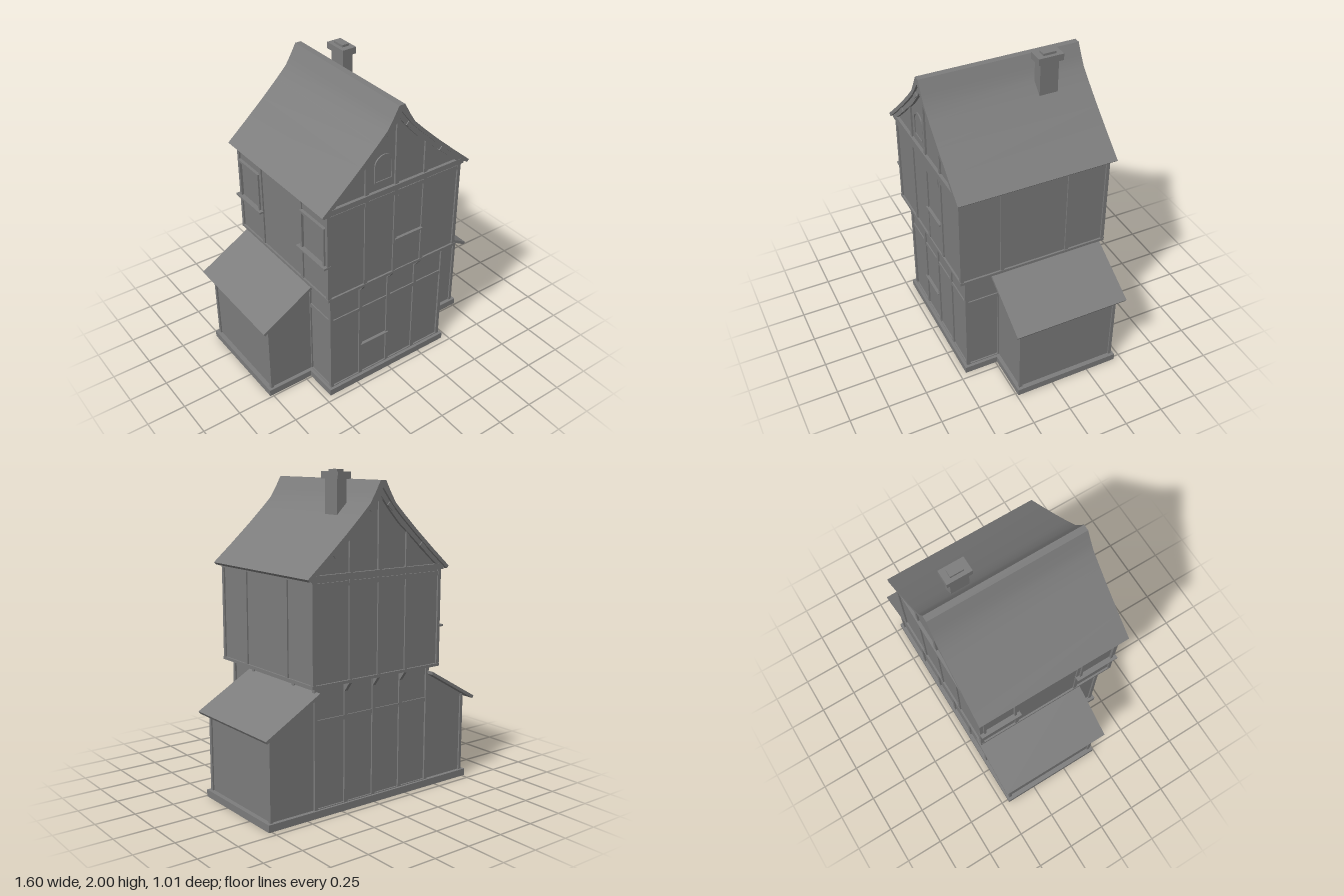
import * as THREE from 'three';
import { toCreasedNormals } from 'three/addons/utils/BufferGeometryUtils.js';

const material = new THREE.MeshStandardMaterial({ color: 0x7c7c7c });

export function createModel() {
  const house = new THREE.Group();
  house.name = 'timberHouse';

  const add = (name, geometry) => {
    const mesh = new THREE.Mesh(geometry, material);
    mesh.name = name;
    house.add(mesh);
    return mesh;
  };
  // Box given by its bounds
  const box = (name, x0, x1, y0, y1, z0, z1) => {
    const g = new THREE.BoxGeometry(Math.abs(x1 - x0), y1 - y0, Math.abs(z1 - z0));
    g.translate((x0 + x1) / 2, (y0 + y1) / 2, (z0 + z1) / 2);
    return add(name, g);
  };
  const toVectors = (points) => points.map(([x, y]) => new THREE.Vector2(x, y));
  // Outline in x and y, extruded from z0 to z1
  const slab = (name, outline, z0, z1) => {
    const shape = outline instanceof THREE.Shape ? outline : new THREE.Shape(toVectors(outline));
    const g = new THREE.ExtrudeGeometry(shape, { depth: z1 - z0, bevelEnabled: false, curveSegments: 10 });
    g.translate(0, 0, z0);
    return add(name, toCreasedNormals(g, 0.5));
  };
  const mirrorX = (points) => points.map(([x, y]) => [-x, y]).reverse();
  const sides = [-1, 1];

  // Plinth: a stepped rim open below
  const plan = [[0.77, 0.455], [0.77, -0.24], [0.46, -0.24], [0.46, -0.46]];
  const inner = [[0.74, 0.425], [0.74, -0.21], [0.43, -0.21], [0.43, -0.43]];
  const rim = new THREE.Shape(toVectors([...plan, ...mirrorX(plan)].reverse()));
  rim.holes.push(new THREE.Path(toVectors([...inner, ...mirrorX(inner)])));
  slab('plinth', rim, 0, 0.045).rotation.x = -Math.PI / 2;

  // Floor, joists and the sills between the house and its wings
  box('floor', -0.44, 0.44, 0.036, 0.05, -0.44, 0.44);
  for (const x of [-0.6, 0.6]) box('wingJoist', x - 0.012, x + 0.012, 0.015, 0.042, -0.43, 0.215);
  for (const x of [-0.212, 0, 0.212]) box('floorJoist', x - 0.012, x + 0.012, 0.012, 0.04, -0.44, 0.44);
  for (const z of [-0.222, 0.212]) box('floorBeam', -0.44, 0.44, 0.015, 0.04, z - 0.012, z + 0.012);
  for (const s of sides) box('dividingSill', s * 0.43, s * 0.46, 0.002, 0.043, -0.44, 0.225);

  // Storey walls
  box('lowerWalls', -0.43, 0.43, 0.04, 0.8, -0.43, 0.43);
  box('upperWalls', -0.475, 0.475, 0.795, 1.42, -0.475, 0.475);

  // Corner posts
  for (const sx of sides) for (const sz of sides) {
    box('lowerCornerPost', sx * 0.42, sx * 0.442, 0.045, 0.8, sz * 0.42, sz * 0.442);
    box('upperCornerPost', sx * 0.463, sx * 0.485, 0.79, 1.41, sz * 0.463, sz * 0.485);
  }

  // Framing on the front and back
  for (const s of sides) {
    for (const x of [-0.212, 0, 0.212]) {
      box('lowerPost', x - 0.012, x + 0.012, 0.045, 0.8, s * 0.42, s * 0.44);
      box('upperPost', x - 0.012, x + 0.012, 0.8, 1.41, s * 0.465, s * 0.484);
      // Bracket under the overhanging storey
      const bracket = slab('jettyBracket', [[0, 0.725], [0.045, 0.785], [0.045, 0.798], [0, 0.798]], -0.011, 0.011);
      bracket.rotation.y = -s * Math.PI / 2;
      bracket.position.set(x, 0, s * 0.435);
    }
    box('lowerRail', -0.44, 0.44, 0.56, 0.586, s * 0.42, s * 0.438);
    box('jettyBeam', -0.485, 0.485, 0.79, 0.808, s * 0.46, s * 0.487);
    box('upperRail', -0.475, 0.475, 1.357, 1.385, s * 0.46, s * 0.483);
    box('tieBeam', -0.5, 0.5, 1.395, 1.43, s * 0.46, s * 0.492);
  }

  // Framing on the sides
  for (const s of sides) {
    for (const z of [-0.222, 0.212]) {
      box('upperSidePost', s * 0.465, s * 0.484, 0.8, 1.41, z - 0.012, z + 0.012);
      box('lowerSidePost', s * 0.42, s * 0.44, 0.045, 0.8, z - 0.012, z + 0.012);
    }
    box('lowerSideRail', s * 0.42, s * 0.438, 0.56, 0.586, -0.43, 0.43);
    box('sideJettyBeam', s * 0.46, s * 0.487, 0.79, 0.808, -0.485, 0.485);
    box('wallPlate', s * 0.46, s * 0.487, 1.385, 1.41, -0.485, 0.485);
  }

  // Lean-to wings
  for (const s of sides) {
    const flip = (points) => (s > 0 ? points : mirrorX(points));
    slab('wingWalls', flip([[0.42, 0.04], [0.74, 0.04], [0.74, 0.565], [0.42, 0.75]]), -0.43, 0.215);
    slab('wingRoof', flip([[0.43, 0.738], [0.79, 0.53], [0.8, 0.546], [0.43, 0.759]]), -0.485 + s * 0.004, 0.263 + s * 0.003);
    for (const [z0, z1] of [[-0.44, -0.42], [0.203, 0.225]]) {
      box('wingPost', s * 0.73, s * 0.75, 0.045, 0.555, z0, z1);
    }
    box('wingPlate', s * 0.73, s * 0.75, 0.535, 0.555, -0.43, 0.215);
  }

  // Main roof: a shell that steepens toward the ridge
  const top = [[0.53, 1.415], [0.4, 1.527], [0.27, 1.643], [0.165, 1.742], [0.095, 1.812], [0.06, 1.868], [0.02, 1.94]];
  const under = [[0.515, 1.4], [0.385, 1.51], [0.255, 1.626], [0.15, 1.725], [0.08, 1.795], [0, 1.9]];
  slab('mainRoof', [...top, ...mirrorX(top), ...mirrorX(under).reverse(), ...under.slice(0, -1).reverse()], -0.505, 0.505);

  // Gable walls and framing
  const gable = [[0.475, 1.41], [0.25, 1.622], [0.145, 1.721], [0.075, 1.791]];
  slab('gableWalls', [...gable, [0, 1.88], ...mirrorX(gable)], -0.472, 0.472);
  const rafter = [[0.515, 1.402], [0.385, 1.512], [0.255, 1.628], [0.15, 1.727], [0.08, 1.797], [0, 1.9],
    [0, 1.85], [0.07, 1.765], [0.14, 1.69], [0.245, 1.6], [0.375, 1.485], [0.475, 1.402]];
  for (const s of sides) {
    const z = [s * 0.46, s * 0.49].sort((a, b) => a - b);
    slab('rafter', rafter, ...z);
    slab('rafter', mirrorX(rafter), ...z);
    box('kingPost', -0.013, 0.013, 1.42, 1.86, s * 0.46, s * 0.484);
    for (const x of [-0.212, 0.212]) box('gablePost', x - 0.012, x + 0.012, 1.42, 1.64, s * 0.46, s * 0.483);
    // Purlin ends
    for (const sx of sides) for (const [x, y] of [[0.07, 1.792], [0.325, 1.546]]) {
      const purlin = box('purlinEnd', -0.025, 0.025, -0.014, 0.014, s * 0.45, s * 0.496);
      purlin.rotation.z = -sx * 0.73;
      purlin.position.set(sx * x, y, 0);
    }
  }

  // Arched gable window: frame and pane
  const arch = (w, y0, spring) => {
    const a = new THREE.Shape();
    a.moveTo(-w, y0);
    a.lineTo(w, y0);
    a.lineTo(w, spring);
    a.absarc(0, spring, w, 0, Math.PI, false);
    a.closePath();
    return a;
  };
  const frame = arch(0.065, 1.478, 1.588);
  frame.holes.push(arch(0.055, 1.488, 1.588));
  slab('archedWindowFrame', frame, 0.465, 0.48).position.x = -0.092;
  slab('archedWindowPane', arch(0.058, 1.485, 1.588), 0.46, 0.474).position.x = -0.092;

  // Front windows: sills and the panels around the upper one
  box('lowerSill', -0.212, 0, 0.285, 0.291, 0.425, 0.45);
  box('upperSill', 0, 0.205, 1.036, 1.046, 0.465, 0.494);
  box('panelBelowWindow', 0.01, 0.192, 0.808, 1.036, 0.465, 0.479);
  box('panelAboveWindow', 0.012, 0.192, 1.315, 1.384, 0.465, 0.4845);

  // Two windows on the right-hand wall
  for (const [z0, z1] of [[-0.462, -0.232], [0.222, 0.462]]) {
    box('sideSill', -0.512, -0.465, 1.038, 1.05, z0 - 0.025, z1 + 0.025);
    for (const z of [z0 + 0.008, z1 - 0.008]) box('sideWindowJamb', -0.495, -0.465, 1.05, 1.305, z - 0.008, z + 0.008);
    box('sideWindowHead', -0.495, -0.465, 1.29, 1.305, z0, z1);
    box('sideWindowPane', -0.479, -0.47, 1.05, 1.3, z0, z1);
  }

  // Chimney
  box('chimneyShaft', 0.1, 0.168, 1.7, 1.95, -0.293, -0.175);
  box('chimneyCap', 0.085, 0.182, 1.945, 1.986, -0.317, -0.157);
  box('chimneyFlue', 0.11, 0.158, 1.98, 2, -0.28, -0.197);

  return house;
}
